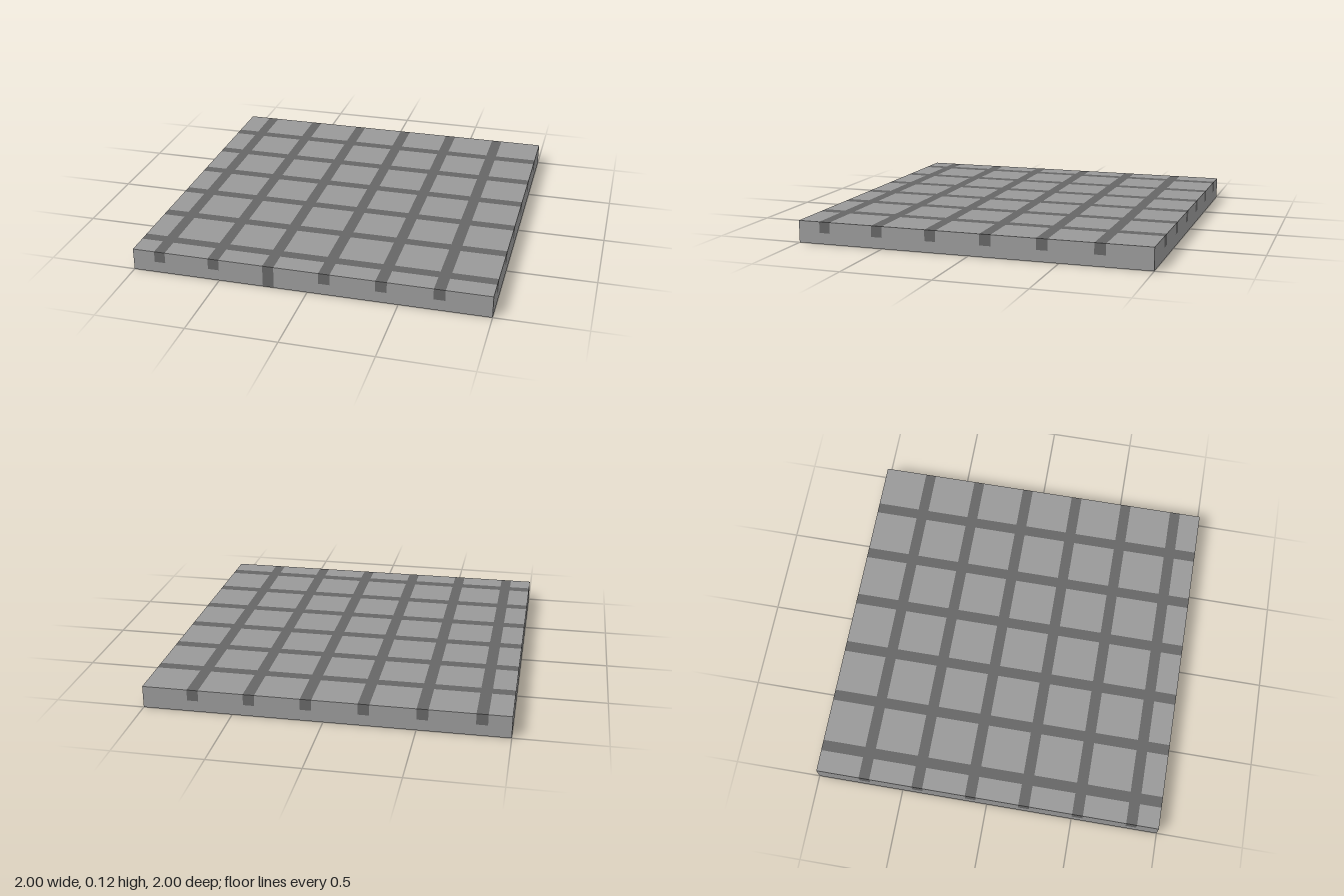
import * as THREE from 'three';

const U = 2 / 32; // one grid unit; the slab is 32 x 2 x 32 units

const stone = new THREE.MeshStandardMaterial({ color: 0x999999 });
const grout = new THREE.MeshStandardMaterial({ color: 0x666666 });

// Box between two grid corners: x and z counted from the right / back edge, y from the floor
function block(name, material, [x0, x1], [y0, y1], [z0, z1]) {
  const geometry = new THREE.BoxGeometry((x1 - x0) * U, (y1 - y0) * U, (z1 - z0) * U);
  const mesh = new THREE.Mesh(geometry, material);
  mesh.name = name;
  mesh.position.set(((x0 + x1) / 2 - 16) * U, ((y0 + y1) / 2) * U, ((z0 + z1) / 2 - 16) * U);
  return mesh;
}

// Joints are one unit wide and repeat every five; tiles fill the gaps between them
function layout(first) {
  const joints = [], tiles = [];
  let start = 0;
  for (let p = first; p < 32; p += 5) {
    joints.push([p, p + 1]);
    tiles.push([start, p]);
    start = p + 1;
  }
  tiles.push([start, 32]);
  return { joints, tiles };
}

export function createModel() {
  const model = new THREE.Group();
  model.name = 'tiledFloor';
  const all = [0, 32], lower = [0, 1], upper = [1, 2];

  // Base layer, with one inlaid strip that stops a unit short of the back
  const base = new THREE.Group();
  base.name = 'base';
  base.add(
    block('baseRight', stone, [0, 12], lower, all),
    block('baseLeft', stone, [13, 32], lower, all),
    block('baseBackInfill', stone, [12, 13], lower, [0, 1]),
    block('baseStrip', grout, [12, 13], lower, [1, 32])
  );

  // Top layer: square tiles flush with a grid of joints
  const tiles = new THREE.Group();
  tiles.name = 'tiles';
  const joints = new THREE.Group();
  joints.name = 'joints';
  const xs = layout(2), zs = layout(4);
  for (const x of xs.joints) joints.add(block('longJoint', grout, x, upper, all));
  for (const x of xs.tiles) {
    for (const z of zs.joints) joints.add(block('crossJoint', grout, x, upper, z));
    for (const z of zs.tiles) tiles.add(block('tile', stone, x, upper, z));
  }

  model.add(base, tiles, joints);
  return model;
}
